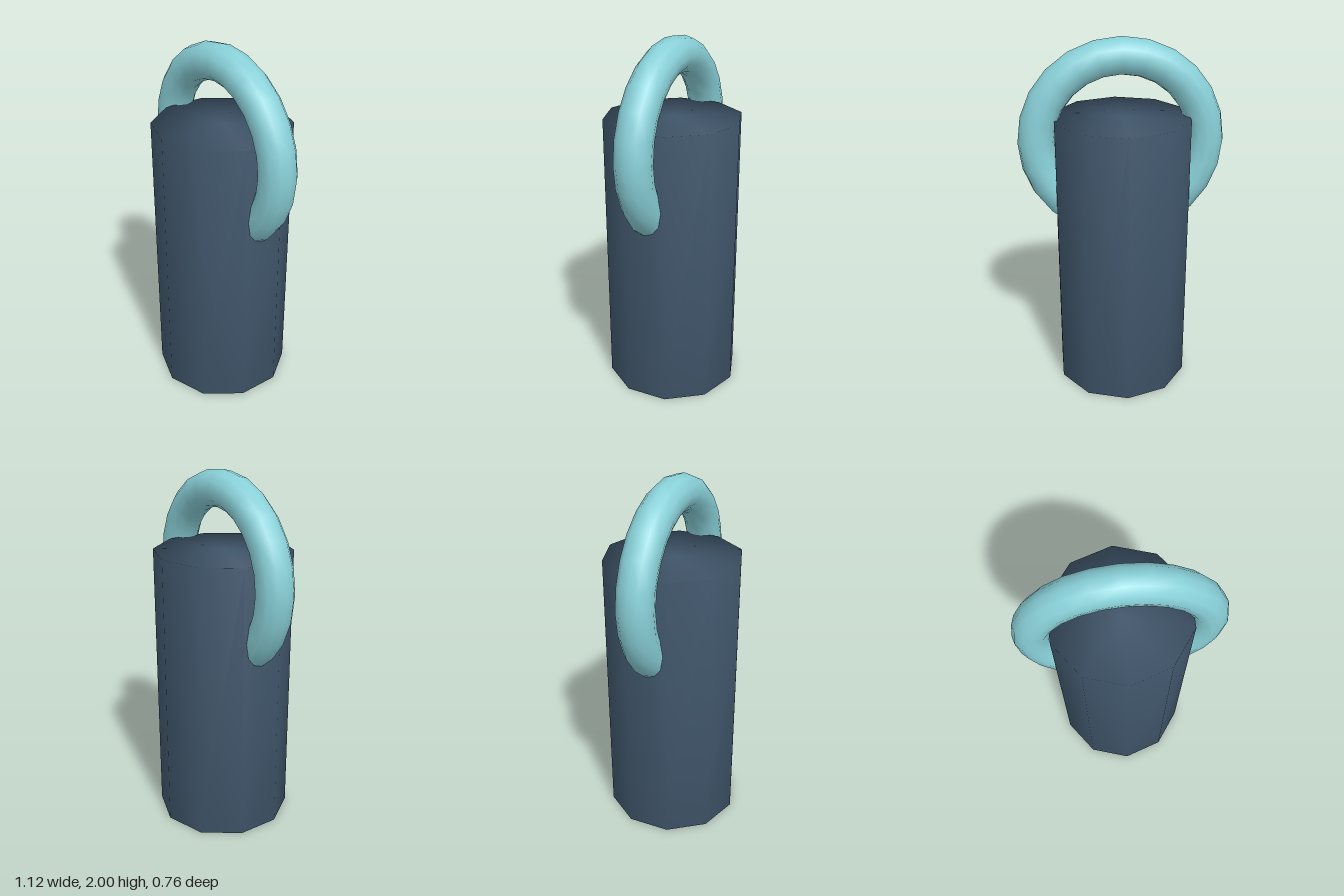
import * as THREE from 'three';
import { mergeVertices } from 'three/addons/utils/BufferGeometryUtils.js';

// Weld all corners so shading runs smoothly over every edge
function softened(geometry) {
  geometry.deleteAttribute('normal');
  geometry.deleteAttribute('uv');
  const welded = mergeVertices(geometry, 1e-4);
  welded.computeVertexNormals();
  return welded;
}

export function createModel() {
  const model = new THREE.Group();
  model.name = 'ringedPost';

  const slate = new THREE.MeshStandardMaterial({ color: 0x40566b });
  slate.name = 'slateBlue';
  const aqua = new THREE.MeshStandardMaterial({ color: 0x89d0d8 });
  aqua.name = 'paleAqua';

  // Ten-sided closed post with a corner facing front and back
  const height = 1.575;
  const post = new THREE.Mesh(softened(new THREE.CylinderGeometry(0.38, 0.38, height, 10)), slate);
  post.name = 'post';
  post.position.y = height / 2;
  model.add(post);

  // Upright ring passing through the upper part of the post
  const ring = new THREE.Mesh(softened(new THREE.TorusGeometry(0.46, 0.1, 12, 24)), aqua);
  ring.name = 'ring';
  ring.position.y = 1.44;
  model.add(ring);

  return model;
}
